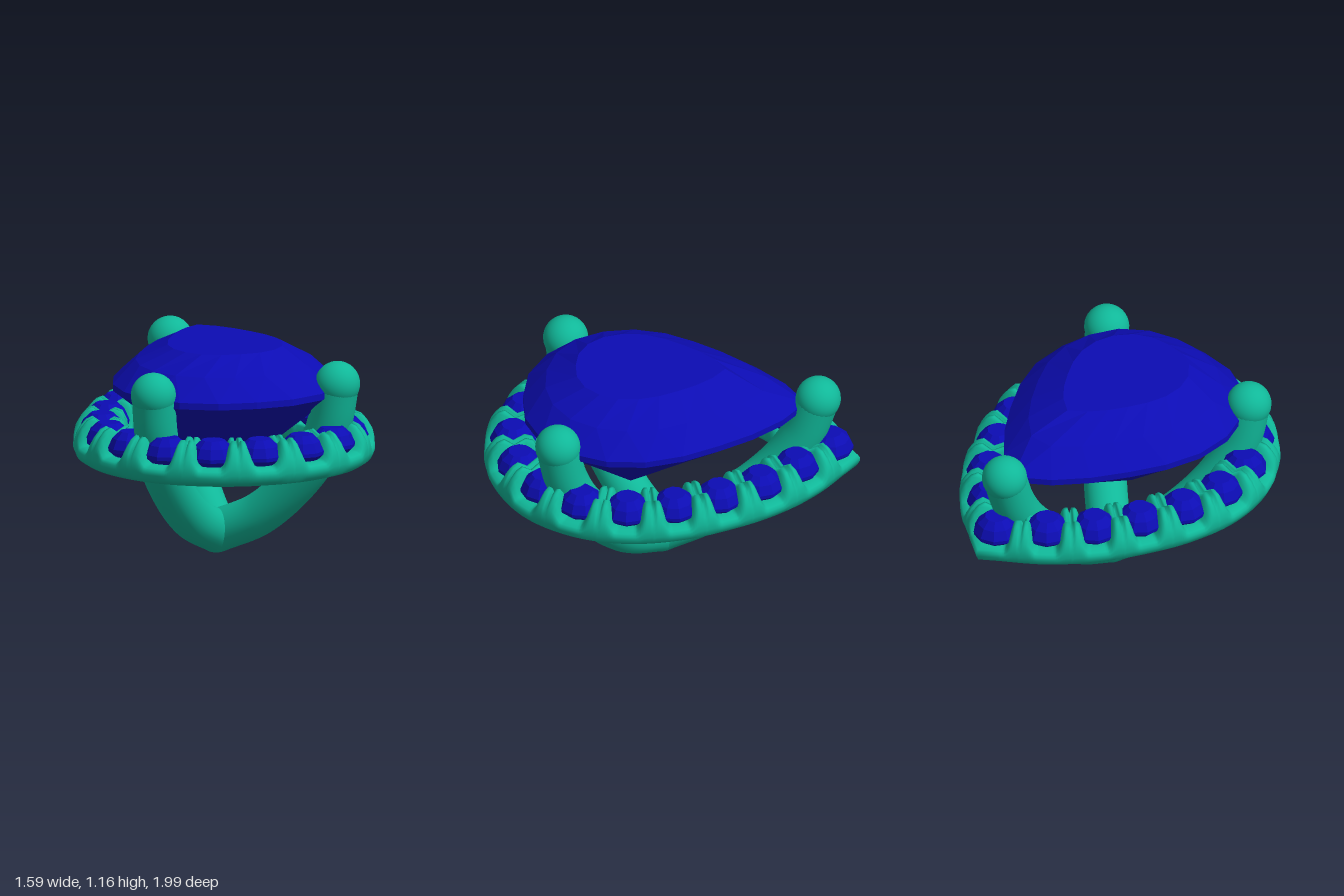
import * as THREE from 'three';

const metal = new THREE.MeshStandardMaterial({ color: 0x10b899 });
const gem = new THREE.MeshStandardMaterial({ color: 0x0c0cb4, flatShading: true });
const STONES = 18;

// Half outlines, from the pointed back tip round to the front, as [x, z]
const halfCurve = (pts) => new THREE.CatmullRomCurve3(pts.map(([x, z]) => new THREE.Vector3(x, 0, z)));
const haloHalf = halfCurve([[0, -0.81], [0.2, -0.67], [0.37, -0.49], [0.5, -0.28], [0.6, -0.05], [0.643, 0.2],
  [0.6, 0.44], [0.46, 0.66], [0.24, 0.8], [0.08, 0.84], [0, 0.843]]);
const stoneHalf = halfCurve([[0, -0.71], [0.15, -0.61], [0.3, -0.45], [0.45, -0.22], [0.56, 0], [0.6, 0.2],
  [0.57, 0.42], [0.44, 0.64], [0.22, 0.765], [0.07, 0.79], [0, 0.79]]);

// Point and outward normal on a mirrored outline, t in [0, 1) starting at the tip
function outline(half, t) {
  t = ((t % 1) + 1) % 1;
  const side = t <= 0.5 ? 1 : -1;
  const u = t <= 0.5 ? 2 * t : 2 - 2 * t;
  const p = half.getPointAt(u), d = half.getTangentAt(u);
  let nx = d.z, nz = -d.x;
  if (u < 1e-6 || u > 1 - 1e-6) { nx = 0; nz = 1 / nz; } // mitred ends
  return { x: p.x, z: p.z, nx, nz, side };
}

// Surface closed along u; optionally closed along v
function loft(nu, nv, fn, closeV) {
  const pos = [], index = [];
  for (let i = 0; i < nu; i++) for (let j = 0; j < nv; j++) pos.push(...fn(i, j));
  const id = (i, j) => (i % nu) * nv + (j % nv);
  for (let i = 0; i < nu; i++) {
    for (let j = 0; j < (closeV ? nv : nv - 1); j++) {
      const a = id(i, j), b = id(i, j + 1), c = id(i + 1, j), d = id(i + 1, j + 1);
      index.push(a, b, c, b, d, c);
    }
  }
  const g = new THREE.BufferGeometry();
  g.setAttribute('position', new THREE.Float32BufferAttribute(pos, 3));
  g.setIndex(index);
  g.computeVertexNormals();
  return g;
}

function add(parent, name, geometry, material) {
  const m = new THREE.Mesh(geometry, material);
  m.name = name;
  parent.add(m);
  return m;
}

// Halo band: section rows are [offset, y at a stone seat, y at a claw ridge]
function haloGeometry() {
  const section = [
    [-0.13, 0.58, 0.58], [-0.115, 0.55, 0.55], [-0.09, 0.54, 0.54], [0.07, 0.54, 0.54], [0.11, 0.545, 0.545],
    [0.14, 0.565, 0.565], [0.153, 0.595, 0.61], [0.152, 0.615, 0.65], [0.143, 0.63, 0.69], [0.12, 0.64, 0.73],
    [0.09, 0.645, 0.765], [0.055, 0.64, 0.78], [0.0, 0.63, 0.74], [-0.06, 0.64, 0.775], [-0.1, 0.645, 0.76],
    [-0.125, 0.64, 0.71],
  ];
  const per = 24, nu = STONES * per;
  const frames = Array.from({ length: nu }, (_, i) => outline(haloHalf, i / nu));
  const miter = frames[0];
  return loft(nu, section.length, (i, j) => {
    const k = i % per;
    const f = Math.min(k, per - k) / (per / 2); // 0 at a stone, 1 midway between two
    const slit = f > 0.93 ? 0.3 : 0;
    const ridge = THREE.MathUtils.smoothstep(f, 0.35, 0.75) - slit;
    const [o, low, high] = section[j];
    const q = frames[i];
    let x = q.x + q.nx * o, z = q.z + q.nz * o;
    if (x < 0) { x = 0; z = miter.z + miter.nz * o; }
    return [x * q.side, THREE.MathUtils.lerp(low, high, ridge), z];
  }, true);
}

// Pear-cut stone: rings are [scale, y, half-step twist], from culet to table
function pearStoneGeometry() {
  const n = 20;
  const rings = [[0, 0.43, 0], [0.52, 0.69, 0.5], [1, 0.925, 0], [1, 0.96, 0], [0.79, 1.075, 0.5],
    [0.51, 1.165, 0], [0, 1.165, 0]];
  return loft(n, rings.length, (i, j) => {
    const [s, y, twist] = rings[j];
    const q = outline(stoneHalf, (i + twist) / n);
    const cz = 0.22;
    const back = q.z < cz && j > 3 ? 1 + 0.12 * (1 - s) : 1;
    return [q.x * q.side * s, y, cz + (q.z - cz) * s * back];
  }, false);
}

// Claw: round tube with a ball tip
function addClaw(parent, name, pts) {
  const claw = new THREE.Group();
  claw.name = name;
  const curve = new THREE.CatmullRomCurve3(pts.map((p) => new THREE.Vector3(...p)));
  add(claw, 'clawShaft', new THREE.TubeGeometry(curve, 40, 0.115, 28), metal);
  add(claw, 'clawTip', new THREE.SphereGeometry(0.12, 32, 20), metal).position.set(...pts[pts.length - 1]);
  parent.add(claw);
}

export function createModel() {
  const model = new THREE.Group();
  model.name = 'pearHaloSetting';

  add(model, 'haloBand', haloGeometry(), metal);
  add(model, 'centreStone', pearStoneGeometry(), gem);

  // Small round stones set along the halo
  const cut = new THREE.LatheGeometry([[0, 0.56], [0.12, 0.67], [0.122, 0.69], [0.1, 0.74], [0.06, 0.777], [0, 0.777]]
    .map(([r, y]) => new THREE.Vector2(r, y)), 10);
  const stones = new THREE.Group();
  stones.name = 'haloStones';
  for (let i = 0; i < STONES; i++) {
    const q = outline(haloHalf, i / STONES);
    const m = add(stones, 'haloStone', cut, gem);
    m.position.set(q.x * q.side, 0, i === 0 ? q.z - 0.03 : q.z);
    m.rotation.y = Math.atan2(q.nx * q.side, q.nz);
  }
  model.add(stones);

  // Three claws rising from a common foot
  for (const s of [1, -1]) {
    addClaw(model, s > 0 ? 'leftClaw' : 'rightClaw',
      [[0, 0.117, 0.06], [0.2, 0.245, 0.24], [0.405, 0.53, 0.44], [0.48, 0.76, 0.54], [0.51, 0.99, 0.585]]
        .map(([x, y, z]) => [x * s, y, z]));
  }
  addClaw(model, 'backClaw',
    [[0, 0.117, 0.06], [0, 0.25, -0.2], [0, 0.53, -0.53], [0, 0.76, -0.69], [0, 0.99, -0.775]]);
  add(model, 'foot', new THREE.SphereGeometry(0.115, 32, 20), metal).position.set(0, 0.117, 0.06);
  return model;
}
